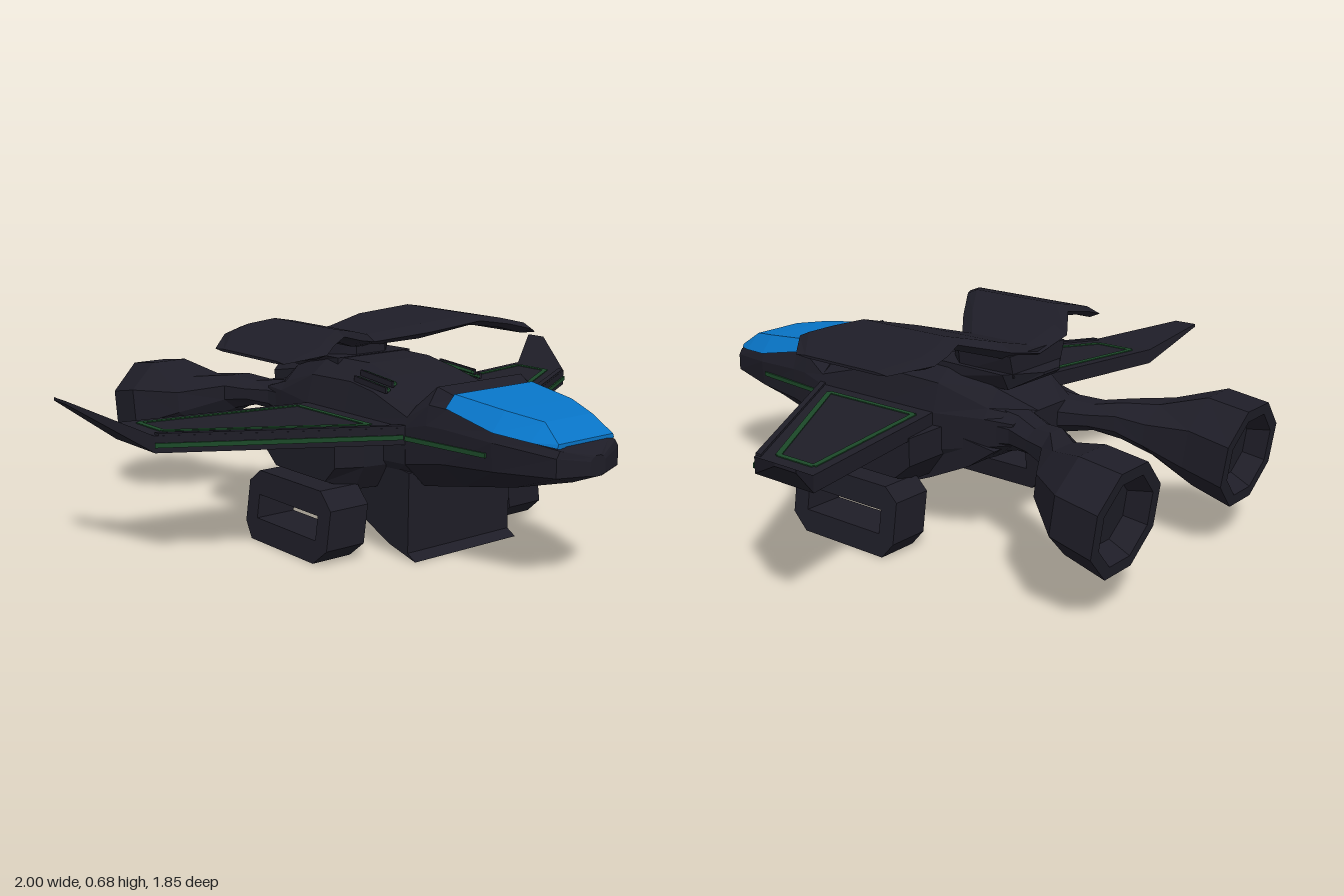
import * as THREE from 'three';

const hull = new THREE.MeshStandardMaterial({ color: 0x1e1d27 });
hull.name = 'dark hull';
const glass = new THREE.MeshStandardMaterial({ color: 0x0874c6 });
glass.name = 'blue glass';
const trim = new THREE.MeshStandardMaterial({ color: 0x1b4828 });
trim.name = 'green trim';

// Flat-faced skin over closed rings of [x, y, z], capped at both ends and turned to face outward
function loft(rings) {
  const tris = [];
  const n = rings[0].length;
  for (let r = 0; r < rings.length - 1; r++) {
    for (let i = 0; i < n; i++) {
      const j = (i + 1) % n;
      const [a, b, c, d] = [rings[r][i], rings[r][j], rings[r + 1][j], rings[r + 1][i]];
      tris.push([a, b, c], [a, c, d]);
    }
  }
  const cap = (ring, flip) => {
    const mid = [0, 1, 2].map(k => ring.reduce((s, p) => s + p[k], 0) / n);
    for (let i = 0; i < n; i++) {
      const j = (i + 1) % n;
      tris.push(flip ? [mid, ring[j], ring[i]] : [mid, ring[i], ring[j]]);
    }
  };
  cap(rings[0], true);
  cap(rings[rings.length - 1], false);
  const V = p => new THREE.Vector3(...p);
  const volume = tris.reduce((s, [a, b, c]) => s + V(a).dot(V(b).cross(V(c))), 0);
  if (volume < 0) tris.forEach(t => t.reverse());
  const geo = new THREE.BufferGeometry();
  geo.setAttribute('position', new THREE.Float32BufferAttribute(tris.flat(2), 3));
  geo.computeVertexNormals();
  return geo;
}

// Symmetric cross-section at z from left-hand points listed bottom to top
const section = (z, pts) => [
  ...pts.map(([x, y]) => [x, y, z]),
  ...pts.map(([x, y]) => [-x, y, z]).reverse(),
];

// Thin bar from a to b; u and v are its half-extents
const bar = (a, b, u, v) => [a, b].map(p =>
  [[1, 1], [1, -1], [-1, -1], [-1, 1]].map(([s, t]) => p.map((c, k) => c + s * u[k] + t * v[k])));

export function createModel() {
  const model = new THREE.Group();
  const add = (name, mat, rings) => {
    const mesh = new THREE.Mesh(loft(rings), mat);
    mesh.name = name;
    model.add(mesh);
  };
  const addPair = (name, mat, rings) => {
    add(name + 'Left', mat, rings);
    add(name + 'Right', mat, rings.map(r => r.map(([x, y, z]) => [-x, y, z])));
  };

  // Nose and cockpit shell
  add('nose', hull, [
    section(0.928, [[0.01, 0.34], [0.03, 0.345], [0.03, 0.385], [0.02, 0.395], [0.01, 0.4]]),
    section(0.89, [[0.06, 0.325], [0.125, 0.345], [0.125, 0.4], [0.112, 0.42], [0.08, 0.424]]),
    section(0.7, [[0.09, 0.275], [0.18, 0.335], [0.188, 0.42], [0.175, 0.45], [0.12, 0.49]]),
    section(0.52, [[0.12, 0.245], [0.205, 0.325], [0.208, 0.43], [0.188, 0.485], [0.15, 0.515]]),
    section(0.455, [[0.13, 0.233], [0.215, 0.315], [0.215, 0.43], [0.203, 0.49], [0.17, 0.54]]),
    section(0.37, [[0.15, 0.222], [0.225, 0.3], [0.225, 0.41], [0.215, 0.44], [0.18, 0.47]]),
  ]);
  add('canopy', glass, [
    section(0.882, [[0.08, 0.415], [0.115, 0.425], [0.11, 0.437]]),
    section(0.815, [[0.1, 0.42], [0.152, 0.436], [0.095, 0.486]]),
    section(0.7, [[0.1, 0.44], [0.185, 0.448], [0.135, 0.505]]),
    section(0.515, [[0.1, 0.48], [0.193, 0.488], [0.158, 0.526]]),
  ]);

  // Main body and the pointed deck over its tail
  add('body', hull, [
    section(0.375, [[0.15, 0.222], [0.225, 0.3], [0.225, 0.41], [0.215, 0.44], [0.17, 0.47]]),
    section(0.2, [[0.17, 0.2], [0.225, 0.29], [0.225, 0.41], [0.205, 0.49], [0.13, 0.53]]),
    section(0.08, [[0.18, 0.2], [0.225, 0.29], [0.225, 0.41], [0.2, 0.505], [0.12, 0.555]]),
    section(-0.12, [[0.18, 0.21], [0.225, 0.29], [0.225, 0.41], [0.2, 0.5], [0.13, 0.555]]),
    section(-0.3, [[0.14, 0.285], [0.2, 0.33], [0.2, 0.42], [0.18, 0.45], [0.13, 0.5]]),
    section(-0.4, [[0.08, 0.335], [0.185, 0.355], [0.185, 0.42], [0.12, 0.43], [0.06, 0.435]]),
  ]);
  add('tailDeck', hull, [
    section(-0.05, [[0.15, 0.5], [0.15, 0.557]]),
    section(-0.33, [[0.12, 0.5], [0.15, 0.553]]),
    section(-0.405, [[0.04, 0.544], [0.04, 0.552]]),
  ]);

  // Belly scoop, a wedge rising toward the tail
  const scoop = [[0.375, 0.27], [0.37, 0.02], [0.405, 0], [0.28, 0.03], [0.2, 0.065],
    [-0.1, 0.19], [-0.25, 0.26], [-0.35, 0.33], [-0.2, 0.35]];
  add('bellyScoop', hull, [-0.21, 0.21].map(x => scoop.map(([z, y]) => [x, y, z])));

  // Main wings with raised tips and a lip along the leading edge
  const wing = [[0.18, 0.4, -0.11, 0.36, 0.411], [0.85, 0, -0.235, 0.36, 0.411], [1, -0.25, -0.33, 0.483, 0.493]];
  addPair('wing', hull, wing.map(([x, f, r, lo, hi]) => [[x, lo, f], [x, hi, f], [x, hi, r], [x, lo, r]]));
  addPair('wingLip', hull, bar([0.2, 0.41, 0.376], [0.84, 0.41, -0.006], [0, 0.008, 0], [0, 0, 0.011]));

  // Green lines: wing panel outline, leading edge and nose sides
  const outline = [[0.28, -0.09], [0.28, 0.275], [0.8, -0.045], [0.8, -0.185]];
  outline.forEach(([x, z], i) => {
    const [x2, z2] = outline[(i + 1) % outline.length];
    const len = Math.hypot(x2 - x, z2 - z);
    addPair('wingOutline' + (i + 1), trim, bar([x, 0.411, z], [x2, 0.411, z2],
      [-(z2 - z) / len * 0.009, 0, (x2 - x) / len * 0.009], [0, 0.003, 0]));
  });
  addPair('leadingEdgeLine', trim, bar([0.23, 0.383, 0.371], [0.85, 0.383, 0.001], [0, 0.007, 0], [0.002, 0, 0.004]));
  addPair('noseLine', trim, bar([0.225, 0.38, 0.375], [0.189, 0.38, 0.68], [0, 0.007, 0], [0.004, 0, 0]));

  // Body vents: green slits, each behind a dark rail
  for (const [i, x, y] of [[0, 0.155, 0.531], [1, 0.18, 0.515]]) {
    const line = dx => [[x + dx, y, 0.09], [x + dx + 0.005, y - 0.014, 0.25]];
    addPair('ventSlit' + (i + 1), trim, bar(...line(0), [0.005, -0.003, 0], [0.002, 0.004, 0]));
    addPair('ventRail' + (i + 1), hull, bar(...line(0.01), [0.004, 0, 0], [0, 0.009, 0]));
  }

  // Drooping roof wing on its central mount
  const roof = [[0, -0.05, -0.36, 0.615, 0.575], [0.14, 0.06, -0.36, 0.65, 0.6], [0.28, 0.155, -0.265, 0.68, 0.643],
    [0.36, 0.21, -0.295, 0.666, 0.634], [0.42, 0.255, -0.295, 0.65, 0.615], [0.515, 0.175, -0.2, 0.61, 0.602]];
  const roofRing = ([x, f, r, hi, lo]) => [[x, (hi + lo) / 2, f], [x, hi, f - 0.04], [x, hi, r + 0.05],
    [x, (hi + lo) / 2, r], [x, lo, r + 0.04], [x, lo, f - 0.05]];
  const mirrored = roof.slice(1).reverse().map(([x, ...rest]) => [-x, ...rest]);
  add('roofWing', hull, [...mirrored, ...roof].map(roofRing));
  add('roofMount', hull, [
    section(-0.07, [[0.06, 0.53], [0.06, 0.6]]),
    section(-0.15, [[0.13, 0.53], [0.14, 0.61]]),
    section(-0.35, [[0.12, 0.54], [0.14, 0.61]]),
  ]);

  // Tail arms flaring into hollow engines: x, y, z, half-width, half-height, rake
  const engine = [[0.11, 0.37, -0.25, 0.085, 0.085, 0], [0.115, 0.383, -0.39, 0.08, 0.056, 0],
    [0.155, 0.384, -0.48, 0.075, 0.043, 0], [0.19, 0.38, -0.56, 0.073, 0.06, 0], [0.28, 0.35, -0.64, 0.122, 0.085, 0.1],
    [0.345, 0.325, -0.77, 0.158, 0.15, 0.13], [0.345, 0.297, -0.905, 0.158, 0.16, 0.13],
    [0.345, 0.297, -0.905, 0.122, 0.124, 0.13], [0.345, 0.305, -0.84, 0.095, 0.095, 0.13]];
  addPair('engineArm', hull, engine.map(([x, y, z, w, h, rake]) => Array.from({ length: 8 }, (_, i) => {
    const a = (i + 0.5) * Math.PI / 4, k = 1.06;
    const dy = Math.sin(a) * h * k;
    return [x + Math.cos(a) * w * k, y + dy, z - dy * rake];
  })));

  // Shoulder blocks under the wings
  addPair('skidMount', hull, [[0.18, 0.2, 0.28], [0.29, 0.2, 0.26], [0.37, 0.23, 0.22]].map(([x, lo, f]) =>
    [[x, 0.37, f], [x, 0.28, f], [x, lo, f - 0.05], [x, lo, -0.09], [x, 0.28, -0.15], [x, 0.37, -0.15]]));

  // Landing skids: leaning chamfered loops
  const path = (Type, pts) => new Type(pts.map(p => new THREE.Vector2(...p)));
  const loop = path(THREE.Shape, [[0.22, 0], [0.28, 0.05], [0.28, 0.17], [0.22, 0.22],
    [-0.1, 0.22], [-0.15, 0.18], [-0.15, 0.05], [-0.11, 0]]);
  loop.holes.push(path(THREE.Path, [[0.22, 0.07], [0.22, 0.145], [-0.09, 0.145], [-0.09, 0.07]]));
  for (const side of [1, -1]) {
    const geo = new THREE.ExtrudeGeometry(loop, { depth: 0.14, bevelEnabled: false });
    geo.translate(0, 0, -0.07);
    geo.rotateY(-Math.PI / 2);
    // lean outward toward the ground
    const p = geo.attributes.position;
    for (let i = 0; i < p.count; i++) p.setX(i, p.getX(i) + side * (0.385 - p.getY(i) * 0.14));
    geo.computeVertexNormals();
    const skid = new THREE.Mesh(geo, hull);
    skid.name = side > 0 ? 'skidLeft' : 'skidRight';
    model.add(skid);
  }
  return model;
}
